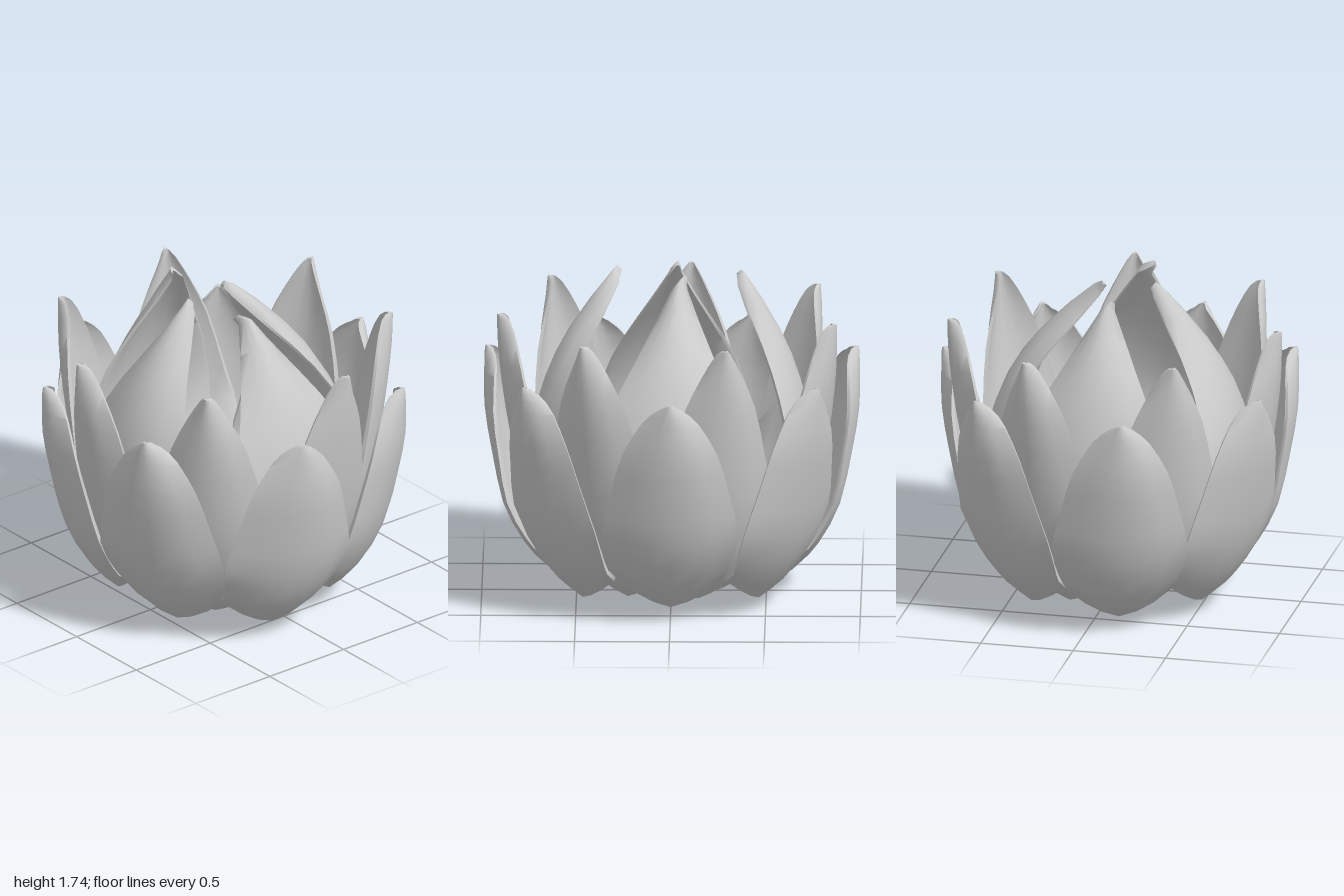
import * as THREE from 'three';
import { toCreasedNormals } from 'three/addons/utils/BufferGeometryUtils.js';

const ROWS = 14, COLS = 6;
const material = new THREE.MeshStandardMaterial({ color: 0xcccccc });

// Stations from base to tip: [radius, height, half width]
const outerProfile = [
  [0.58, 0.07, 0.27], [0.73, 0.22, 0.315], [0.86, 0.46, 0.36], [0.93, 0.73, 0.31],
  [0.975, 0.97, 0.25], [0.985, 1.15, 0.155], [0.985, 1.25, 0.06], [0.98, 1.28, 0.02],
];
const middleProfile = [
  [0.46, 0.08, 0.22], [0.62, 0.22, 0.28], [0.77, 0.53, 0.34], [0.85, 0.87, 0.275],
  [0.9, 1.18, 0.2], [0.92, 1.38, 0.115], [0.925, 1.52, 0.04], [0.925, 1.55, 0.015],
];
const innerProfile = (tip) => [
  [0.21, 0.01, 0.2], [0.45, 0.17, 0.3], [0.65, 0.48, 0.39], [0.71, 0.85, 0.41],
  [tip + (0.7 - tip) * 0.86, 1.17, 0.33], [tip + (0.7 - tip) * 0.56, 1.44, 0.2],
  [tip + (0.7 - tip) * 0.08, 1.72, 0.04], [tip, 1.75, 0.015],
];

// Cupped petal facing +z: closed sections (outer skin, then inner skin) lofted base to tip
function petalGeometry(profile, tipShift = 0) {
  const curve = new THREE.CatmullRomCurve3(profile.map((p) => new THREE.Vector3(...p)));
  const loop = 2 * (COLS + 1);
  const pos = [], index = [];
  for (let i = 0; i <= ROWS; i++) {
    const v = i / ROWS;
    const c = curve.getPoint(v), t = curve.getTangent(v);
    const dir = new THREE.Vector2(t.x, t.y).normalize();
    const cup = 0.13 * c.z / (c.z + 0.06);
    for (let j = 0; j < loop; j++) {
      const inner = j > COLS;
      const k = inner ? loop - 1 - j : j;
      const u = (2 * k / COLS - 1) * (inner ? 0.94 : 1);
      const thick = inner ? 0.06 * (1 - 0.6 * v) * (1 - 0.4 * u * u) : 0;
      const depth = cup * u * u + thick;
      const rise = 0.1 * Math.abs(u) * (1 - v) ** 4;
      pos.push(
        c.z * u + tipShift * v ** 3,
        c.y + rise * dir.y + depth * dir.x,
        c.x + rise * dir.x - depth * dir.y,
      );
    }
  }
  for (let i = 0; i < ROWS; i++) {
    for (let j = 0; j < loop; j++) {
      const a = i * loop + j, b = i * loop + (j + 1) % loop;
      index.push(a, b, b + loop, a, b + loop, a + loop);
    }
  }
  // Close the base and the tip
  const top = ROWS * loop;
  for (let k = 0; k < COLS; k++) {
    const o = k, p = k + 1, q = loop - 1 - k, r = loop - 2 - k;
    index.push(o, q, p, p, q, r);
    index.push(top + o, top + p, top + q, top + p, top + r, top + q);
  }
  const geometry = new THREE.BufferGeometry();
  geometry.setAttribute('position', new THREE.Float32BufferAttribute(pos, 3));
  geometry.setIndex(index);
  return toCreasedNormals(geometry, 1.2);
}

// Turn a petal about the stem, then push it outward
function addPetal(group, name, geometry, degrees, push) {
  const petal = new THREE.Mesh(geometry, material);
  petal.name = name;
  petal.rotation.y = THREE.MathUtils.degToRad(degrees);
  petal.translateZ(push);
  group.add(petal);
}

export function createModel() {
  const model = new THREE.Group();
  model.name = 'lotusFlower';

  // Outer ring of seven petals: [angle, push]
  const outer = petalGeometry(outerProfile);
  const outerPetals = [[25.7, 0], [-25.7, 0], [75.5, 0.035], [-75.5, 0.035], [127, 0], [-127, 0], [180, -0.04]];
  for (const [angle, push] of outerPetals) addPetal(model, 'outerPetal', outer, angle, push);

  // Middle ring of seven petals, staggered
  const middle = petalGeometry(middleProfile);
  for (let i = 0; i < 7; i++) {
    addPetal(model, 'middlePetal', middle, i * 360 / 7 - 6.1, i === 3 || i === 4 ? -0.03 : 0);
  }

  // Four inner petals closing inward: [angle, tip radius, sideways tip shift, push]
  const innerPetals = [
    [0, 0.22, -0.03, 0], [90, 0.26, -0.14, 0.03], [180, 0.09, 0.07, -0.03], [-90, 0.34, 0.06, 0.03],
  ];
  for (const [angle, tip, shift, push] of innerPetals) {
    addPetal(model, 'innerPetal', petalGeometry(innerProfile(tip), shift), angle, push);
  }

  // Octagonal floor between the petal bases
  const floor = new THREE.Mesh(new THREE.CylinderGeometry(0.3, 0.27, 0.04, 8), material);
  floor.name = 'floor';
  floor.position.y = 0.08;
  floor.rotation.y = Math.PI / 8;
  model.add(floor);

  return model;
}
